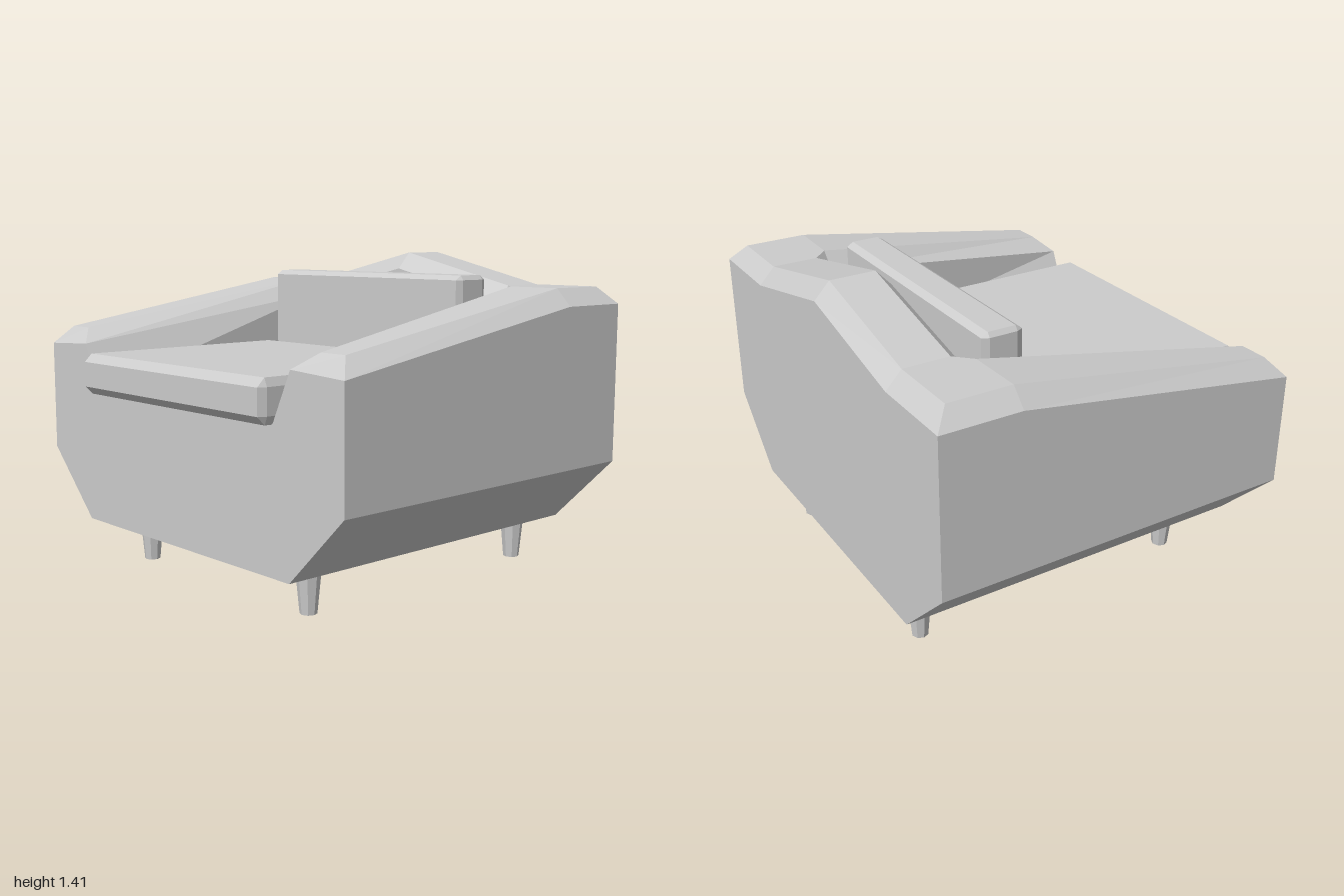
import * as THREE from 'three';
import { ConvexGeometry } from 'three/addons/geometries/ConvexGeometry.js';

const material = new THREE.MeshStandardMaterial({ color: 0xcccccc, flatShading: true });

function add(group, name, geometry, x = 0, y = 0, z = 0) {
  const mesh = new THREE.Mesh(geometry, material);
  mesh.name = name;
  mesh.position.set(x, y, z);
  group.add(mesh);
  return mesh;
}

// Box whose edges are cut by a different amount along each axis
function bevelledBox(w, h, d, bx, by, bz) {
  const points = [];
  for (const sx of [-1, 1]) for (const sy of [-1, 1]) for (const sz of [-1, 1]) {
    const x = w / 2, y = h / 2, z = d / 2;
    points.push(
      new THREE.Vector3(sx * x, sy * (y - by), sz * (z - bz)),
      new THREE.Vector3(sx * (x - bx), sy * y, sz * (z - bz)),
      new THREE.Vector3(sx * (x - bx), sy * (y - by), sz * z));
  }
  return new ConvexGeometry(points);
}

// Cross-sections of one half of the shell, from front arm end to back centre.
// Each runs: base, side, outer lip, outer top, inner top, inner lip, seat well.
const arm = [[.7, .2, .785], [1, .5, .785], [1, .995, .785], [.93, 1.075, .715],
  [.8, 1.075, .715], [.71, 1.01, .785], [.61, .8, .785]];
const elbow = [[.7, .2, -.51], [1, .5, -.51], [1, 1.2, -.51], [.93, 1.275, -.51],
  [.68, 1.275, -.515], [.61, 1.2, -.515], [.61, .8, -.515]];
const corner = [[.7, .2, -.86], [1, .5, -.86], [1, 1.2, -.86], [.93, 1.275, -.79],
  [.61, 1.275, -.585], [.61, 1.2, -.515], [.61, .8, -.515]];
const back = (x, lift) => [[x, .2, -.86], [x, .5, -.86], [x, 1.2 + lift, -.86], [x, 1.275 + lift, -.79],
  [x, 1.275 + lift, -.585], [x, 1.2 + lift, -.515], [x, .8, -.515]];

function shellGeometry() {
  const half = [arm, elbow, corner, back(.61, 0)];
  const mirror = s => s.map(([x, y, z]) => [-x, y, z]);
  const rings = [...half, back(0, .14), ...half.map(mirror).reverse()];
  const positions = [];
  const triangle = (a, b, c) => {
    const t = new THREE.Triangle(...[a, b, c].map(p => new THREE.Vector3(...p)));
    if (t.getArea() > 1e-6) positions.push(...a, ...b, ...c);
  };
  const quad = (a, b, c, d) => { triangle(a, b, c); triangle(a, c, d); };

  for (let i = 0; i < rings.length - 1; i++)
    for (let j = 0; j < arm.length - 1; j++)
      quad(rings[i][j], rings[i + 1][j], rings[i + 1][j + 1], rings[i][j + 1]);

  // Sloped front ends of the arms
  const other = mirror(arm);
  quad(arm[5], arm[2], arm[3], arm[4]);
  quad(other[2], other[5], other[4], other[3]);

  const geometry = new THREE.BufferGeometry();
  geometry.setAttribute('position', new THREE.Float32BufferAttribute(positions, 3));
  geometry.computeVertexNormals();
  return geometry;
}

export function createModel() {
  const chair = new THREE.Group();
  chair.name = 'armchair';

  // Shell: arms and raised back, with its flat faces
  const body = new THREE.Group();
  body.name = 'body';
  chair.add(body);
  add(body, 'armsAndBack', shellGeometry());
  const outline = [0, 1, 2, 5, 6].map(i => new THREE.Vector2(arm[i][0], arm[i][1]));
  const mirrored = outline.map(p => new THREE.Vector2(-p.x, p.y)).reverse();
  add(body, 'frontPanel', new THREE.ShapeGeometry(new THREE.Shape([...outline, ...mirrored])), 0, 0, .785);
  add(body, 'underside', new THREE.PlaneGeometry(1.4, 1.645), 0, .2, -.0375).rotation.x = Math.PI / 2;
  add(body, 'seatWell', new THREE.PlaneGeometry(1.22, 1.3), 0, .8, .135).rotation.x = -Math.PI / 2;

  // Cushions
  add(chair, 'seatCushion', bevelledBox(1.24, .18, 1.095, .015, .035, .035), 0, .885, .3075);
  add(chair, 'backCushion', bevelledBox(1.21, .525, .185, .015, .02, .03), 0, 1.0625, -.3475);

  // Tapered legs
  for (const x of [-.55, .55])
    for (const z of [.555, -.725])
      add(chair, (z > 0 ? 'front' : 'back') + (x > 0 ? 'Left' : 'Right') + 'Leg',
        new THREE.CylinderGeometry(.055, .036, .2, 8), x, .1, z);

  return chair;
}
